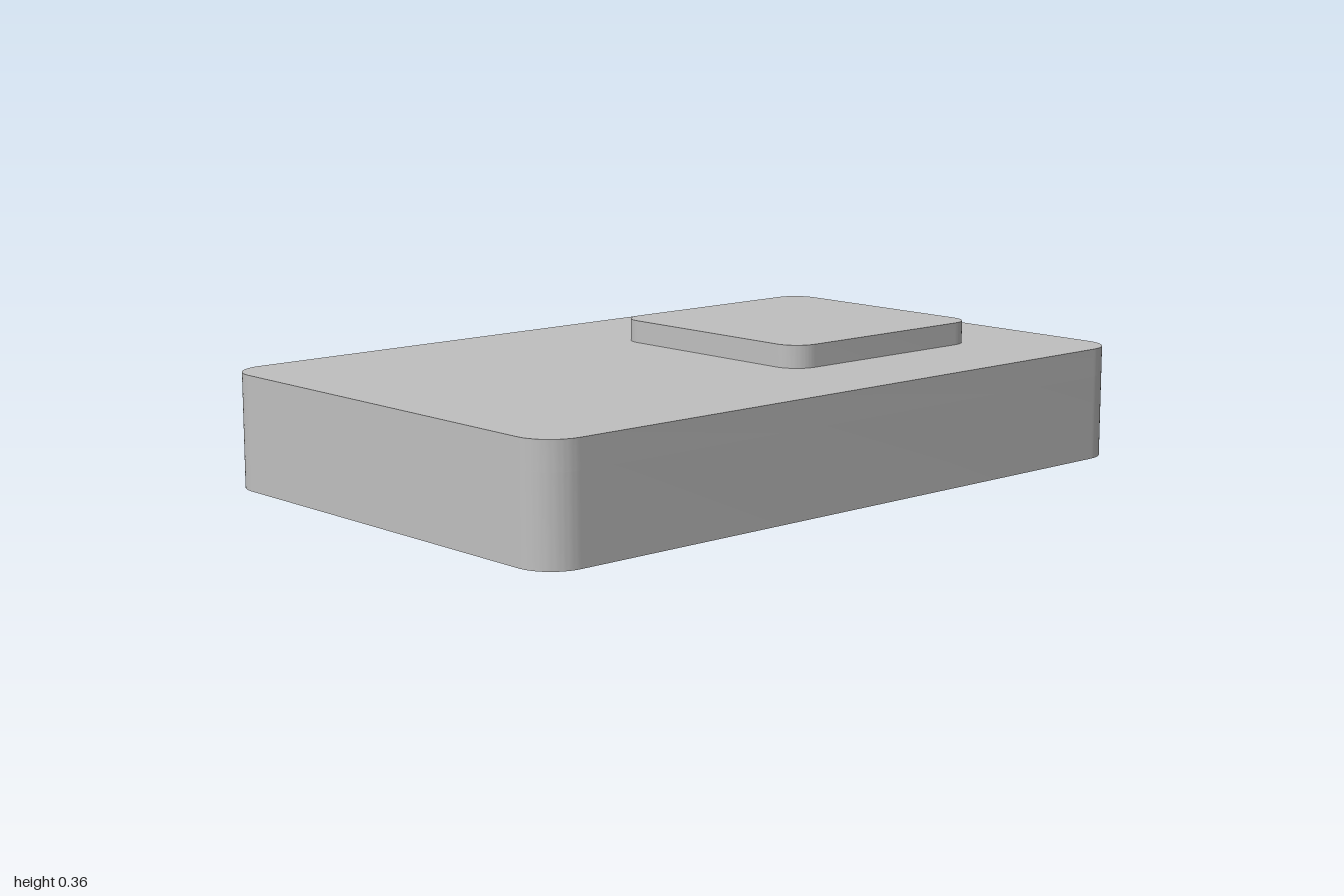
import * as THREE from 'three';
import { toCreasedNormals } from 'three/addons/utils/BufferGeometryUtils.js';

// Rounded rectangle centred on the origin, traced into a Shape or Path
function roundedRect(path, width, length, r) {
  const x = width / 2 - r, y = length / 2 - r;
  path.absarc(x, y, r, 0, Math.PI / 2);
  path.absarc(-x, y, r, Math.PI / 2, Math.PI);
  path.absarc(-x, -y, r, Math.PI, Math.PI * 1.5);
  path.absarc(x, -y, r, Math.PI * 1.5, Math.PI * 2);
  path.closePath();
  return path;
}

// Upright slab with smooth rounded corners and sharp rims
function slab(name, shape, y0, y1, z, material) {
  const geometry = new THREE.ExtrudeGeometry(shape, { depth: y1 - y0, bevelEnabled: false, curveSegments: 12 });
  geometry.rotateX(-Math.PI / 2);
  geometry.translate(0, y0, z);
  const mesh = new THREE.Mesh(toCreasedNormals(geometry, Math.PI / 6), material);
  mesh.name = name;
  return mesh;
}

export function createModel() {
  const grey = new THREE.MeshStandardMaterial({ color: 0xbfbfbf });
  grey.name = 'plain grey';

  const width = 1.28, length = 2, wall = 0.06;
  const ceiling = 0.225, top = 0.3;
  const outline = () => roundedRect(new THREE.Shape(), width, length, 0.1);

  // Side walls around the hollow underside
  const wallShape = outline();
  wallShape.holes.push(roundedRect(new THREE.Path(), width - 2 * wall, length - 2 * wall, 0.06));

  // Raised square pad towards the back
  const padShape = roundedRect(new THREE.Shape(), 0.68, 0.68, 0.07);

  const model = new THREE.Group();
  model.name = 'hollowCover';
  model.add(
    slab('sideWalls', wallShape, 0, ceiling, 0, grey),
    slab('topPlate', outline(), ceiling, top, 0, grey),
    slab('raisedPad', padShape, top, 0.36, -0.41, grey)
  );
  return model;
}
